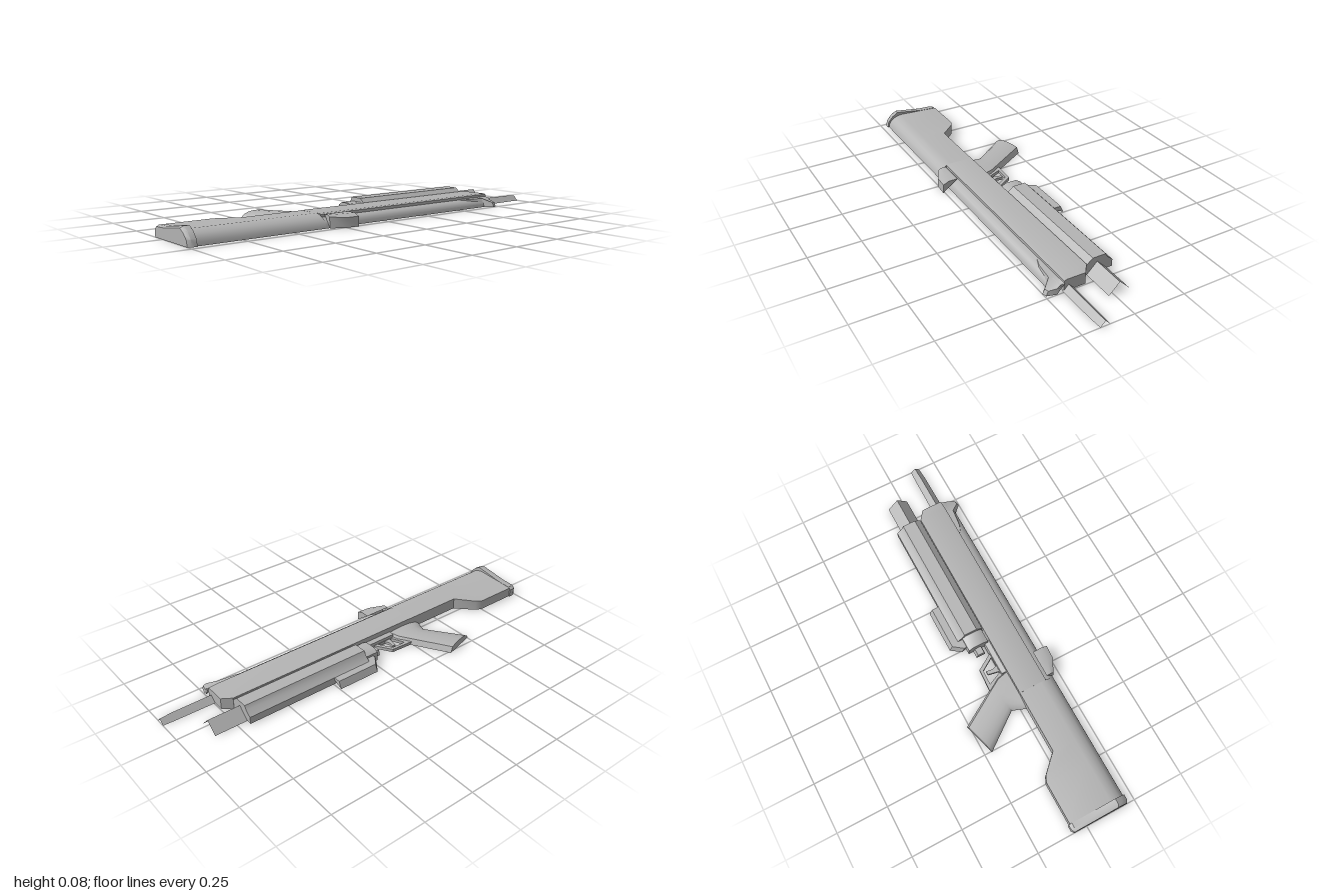
import * as THREE from 'three';
import { toCreasedNormals } from 'three/addons/utils/BufferGeometryUtils.js';

const grey = new THREE.MeshStandardMaterial({ color: 0xb4b4b4, side: THREE.DoubleSide });
grey.name = 'plain grey';

export function createModel() {
  const group = new THREE.Group();

  const add = (name, geometry) => {
    const mesh = new THREE.Mesh(toCreasedNormals(geometry, 0.6), grey);
    mesh.name = name;
    group.add(mesh);
  };

  // Open-bottomed shell through matching rings of [x, y, z] points
  const loft = (name, rings, capStart = true, capEnd = true) => {
    const n = rings[0].length, last = rings.length - 1, index = [];
    for (let k = 0; k < last; k++) {
      for (let i = 0; i < n - 1; i++) {
        const a = k * n + i, b = a + 1, c = a + n, d = c + 1;
        index.push(a, c, b, b, c, d);
      }
    }
    for (let i = 1; i < n - 1; i++) {
      if (capStart) index.push(0, i, i + 1);
      if (capEnd) index.push(last * n, last * n + i + 1, last * n + i);
    }
    const g = new THREE.BufferGeometry();
    g.setAttribute('position', new THREE.Float32BufferAttribute(rings.flat(2), 3));
    g.setIndex(index);
    add(name, g.toNonIndexed());
  };

  // Ring at x from a [z, y] profile running from +z over the top to -z
  const ring = (x, profile) => profile.map(([z, y]) => [x, y, z]);
  const prism = (name, profile, x0, x1, c0 = true, c1 = true) =>
    loft(name, [ring(x0, profile), ring(x1, profile)], c0, c1);

  // Flat plate from an outline in [x, z], standing on the ground
  const plate = (name, outline, height, hole) => {
    const toPoints = (list) => list.map(([x, z]) => new THREE.Vector2(x, z));
    const shape = new THREE.Shape(toPoints(outline));
    if (hole) shape.holes.push(new THREE.Path(toPoints(hole)));
    const g = new THREE.ExtrudeGeometry(shape, { depth: height, bevelEnabled: false });
    g.rotateX(Math.PI / 2).translate(0, height, 0);
    add(name, g);
  };

  // Stock with a rounded upper edge and a stepped lower edge
  const stock = (lower, top = 0.058) => [
    [0.215, 0], [0.211, 0.016], [0.2, 0.034], [0.185, 0.046], [0.165, 0.055],
    [0.14, 0.06], [lower, top], [lower, 0],
  ];
  loft('stock', [
    [-0.96, -0.07, 0.05], [-0.75, -0.07, 0.05], [-0.72, -0.055, 0.052],
    [-0.64, 0.027, 0.058], [-0.33, 0.027, 0.058],
  ].map(([x, lower, top]) => ring(x, stock(lower, top))));

  // Butt plate, bevelled towards its rear face
  const butt = [
    [0.222, 0], [0.215, 0.03], [0.19, 0.058], [0.16, 0.077],
    [0.01, 0.055], [-0.06, 0.052], [-0.075, 0.04], [-0.075, 0],
  ];
  const rearButt = butt.map(([z, y]) => [0.07 + (z - 0.07) * 0.94, y * 0.9]);
  loft('buttPlate', [ring(-1, rearButt), ring(-0.985, butt), ring(-0.96, butt)]);

  // Receiver with a tapered front face
  const receiver = (upper, lower, top) => [
    [upper, 0], [upper, top - 0.004], [upper - 0.012, top], [lower, top - 0.001], [lower, 0],
  ];
  loft('receiver', [
    ring(-0.33, receiver(0.167, 0.027, 0.06)),
    ring(0.7, receiver(0.167, 0.027, 0.06)),
    ring(0.745, receiver(0.165, 0.06, 0.058)),
  ]);

  // Rounded rail beside the receiver
  const rail = [
    [0.215, 0], [0.211, 0.016], [0.2, 0.031], [0.185, 0.039], [0.165, 0.043],
  ];
  loft('sideRail', [
    ring(-0.33, rail), ring(0.7, rail),
    ring(0.745, rail.map(([z, y]) => [Math.min(z, 0.195), y])),
  ]);

  // Front sight
  loft('frontSight', [
    ring(0.55, [[0.18, 0], [0.175, 0.043], [0.165, 0.045]]),
    ring(0.59, [[0.2, 0], [0.19, 0.043], [0.165, 0.045]]),
    ring(0.68, [[0.215, 0], [0.2, 0.043], [0.165, 0.045]]),
    ring(0.715, [[0.25, 0], [0.24, 0.022], [0.165, 0.045]]),
    ring(0.735, [[0.245, 0], [0.235, 0.022], [0.165, 0.045]]),
    ring(0.748, [[0.2, 0], [0.19, 0.03], [0.165, 0.042]]),
  ]);

  // Rear sight with a slanted back corner
  loft('rearSight', [
    ring(-0.315, [[0.222, 0], [0.217, 0.05], [0.205, 0.058], [0.18, 0.058]]),
    ring(-0.25, [[0.255, 0], [0.252, 0.045], [0.22, 0.058], [0.18, 0.058]]),
    ring(-0.182, [[0.258, 0], [0.256, 0.045], [0.225, 0.058], [0.18, 0.058]]),
  ]);

  // Barrel and the wider tube under it, with three-sided sections
  loft('barrel', [
    ring(0.74, [[0.17, 0], [0.143, 0.029], [0.114, 0]]),
    ring(0.94, [[0.168, 0], [0.143, 0.028], [0.116, 0]]),
    ring(1, [[0.164, 0], [0.141, 0.025], [0.118, 0]]),
  ], false, false);
  prism('lowerTube', [[0.023, 0], [-0.028, 0.053], [-0.081, 0]], 0.68, 0.86, false, false);

  // Fore-end, its rear collar and the pin behind it
  prism('foreEnd', [
    [0.027, 0], [0.025, 0.053], [-0.005, 0.077], [-0.07, 0.077],
    [-0.08, 0.058], [-0.107, 0.035], [-0.107, 0],
  ], 0.04, 0.7);
  const collar = [
    [0.025, 0], [0.02, 0.046], [-0.005, 0.058], [-0.06, 0.058], [-0.082, 0.045], [-0.085, 0],
  ];
  prism('foreEndCollar', collar, -0.03, 0.045);
  prism('rearPin', [[-0.013, 0], [-0.02, 0.028], [-0.052, 0.028], [-0.06, 0]], -0.065, -0.028);

  // Hand stop under the fore-end
  const handStop = (z) => [[-0.08, 0.035], [z + 0.015, 0.035], [z, 0]];
  loft('handStop', [
    ring(-0.005, handStop(-0.11)), ring(0.03, handStop(-0.157)), ring(0.245, handStop(-0.157)),
  ]);

  // Grip: arched sections between its rear and front edges
  const arch = [
    [0, 0], [0.04, 0.012], [0.14, 0.024], [0.3, 0.032], [0.5, 0.035],
    [0.75, 0.034], [0.92, 0.029], [1, 0],
  ];
  loft('grip', [
    [-0.505, -0.215, -0.345, -0.262], [-0.375, -0.04, -0.235, -0.08],
    [-0.382, -0.015, -0.2, -0.025], [-0.4, 0.03, -0.185, 0.03],
  ].map(([x0, z0, x1, z1]) => arch.map(([t, y]) => [x0 + (x1 - x0) * t, y, z0 + (z1 - z0) * t])));

  // Trigger group
  plate('triggerGuard',
    [[-0.245, -0.086], [-0.13, -0.08], [-0.08, 0], [-0.08, 0.028], [-0.21, 0.028], [-0.21, -0.02]],
    0.016,
    [[-0.215, -0.068], [-0.142, -0.066], [-0.1, 0], [-0.185, 0]]);
  plate('trigger', [[-0.18, 0.005], [-0.145, 0.005], [-0.155, -0.025], [-0.15, -0.055],
    [-0.168, -0.055], [-0.175, -0.02]], 0.014);
  prism('lowerReceiver', [[0.03, 0.035], [0.003, 0.03], [0, 0]], -0.2, -0.02);

  return group;
}
